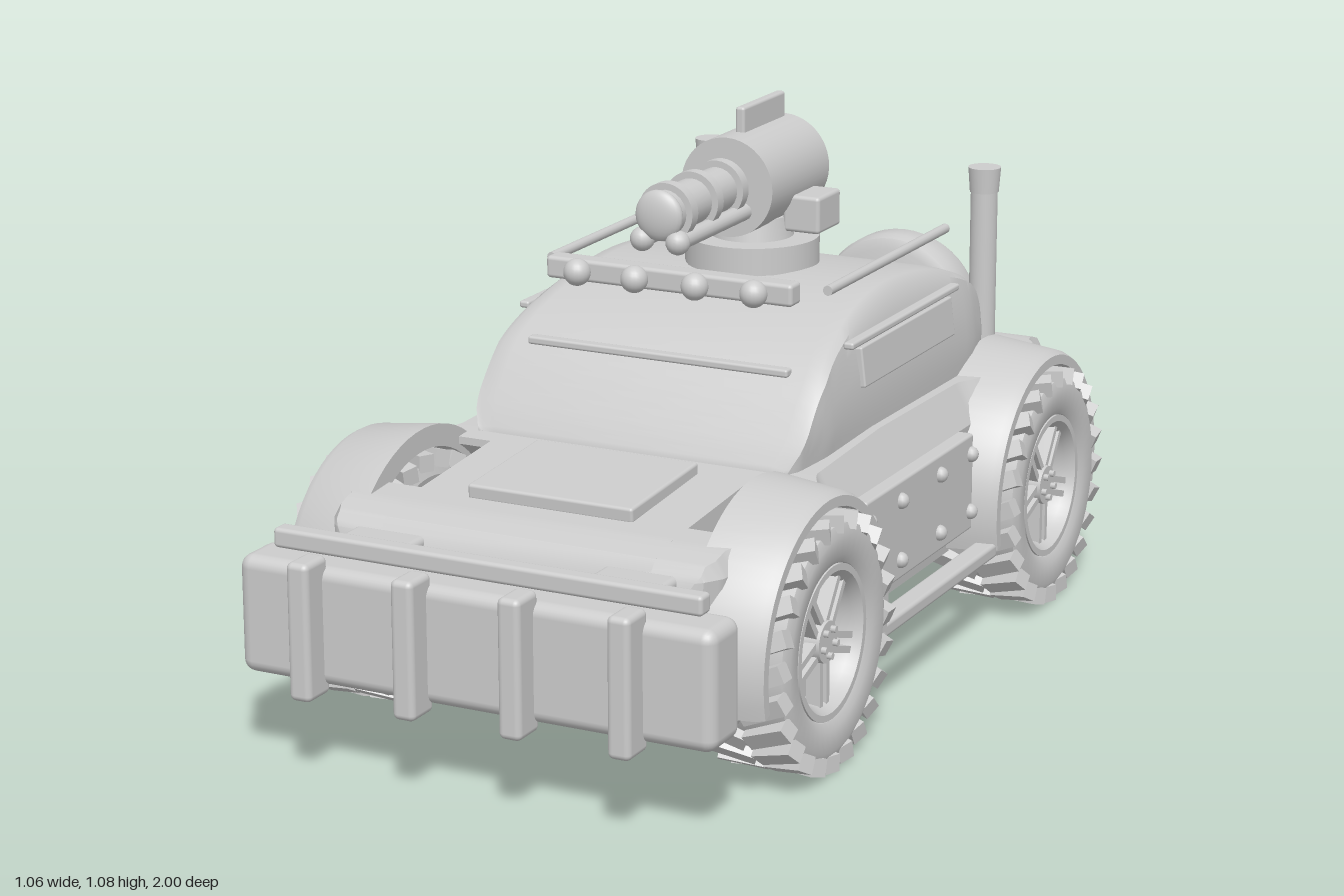
import * as THREE from 'three';
import { mergeGeometries, toCreasedNormals } from 'three/addons/utils/BufferGeometryUtils.js';
import { RoundedBoxGeometry } from 'three/addons/geometries/RoundedBoxGeometry.js';

const paint = new THREE.MeshStandardMaterial({ color: 0xcccccc });
paint.name = 'light grey';

const WHEEL_Y = 0.25, WHEEL_X = 0.43, FRONT_Z = 0.5, REAR_Z = -0.58, WELL_R = 0.265;

function add(parent, name, geo, x = 0, y = 0, z = 0) {
  const m = new THREE.Mesh(geo, paint);
  m.name = name;
  m.position.set(x, y, z);
  parent.add(m);
  return m;
}
function box(parent, name, w, h, d, x, y, z, r = 0) {
  const geo = r ? new RoundedBoxGeometry(w, h, d, 3, r) : new THREE.BoxGeometry(w, h, d);
  return add(parent, name, geo, x, y, z);
}
// cylinder lying along z
function rod(parent, name, r, len, x, y, z, seg = 24) {
  return add(parent, name, new THREE.CylinderGeometry(r, r, len, seg).rotateX(Math.PI / 2), x, y, z);
}

// piecewise linear lookup in [[key, value], ...] sorted by key
function lookup(table, k) {
  if (k <= table[0][0]) return table[0][1];
  for (let i = 1; i < table.length; i++) {
    const [a, va] = table[i - 1], [b, vb] = table[i];
    if (k <= b) return va + (vb - va) * (k - a) / (b - a);
  }
  return table[table.length - 1][1];
}

// closed solid through equal-length cross-sections of [x, y, z] points
function loft(sections, crease = 0.5) {
  const tris = [], n = sections[0].length;
  for (let i = 0; i < sections.length - 1; i++) {
    for (let j = 0; j < n; j++) {
      const k = (j + 1) % n, A = sections[i], B = sections[i + 1];
      tris.push([A[j], A[k], B[k]], [A[j], B[k], B[j]]);
    }
  }
  const first = sections[0], last = sections[sections.length - 1];
  for (let j = 1; j < n - 1; j++) {
    tris.push([first[0], first[j + 1], first[j]], [last[0], last[j], last[j + 1]]);
  }
  // turn the faces outward whichever way the sections run
  let volume = 0;
  const v = (p) => new THREE.Vector3(...p);
  for (const [a, b, c] of tris) volume += v(a).dot(v(b).cross(v(c)));
  if (volume < 0) tris.forEach((t) => t.reverse());
  const geo = new THREE.BufferGeometry();
  geo.setAttribute('position', new THREE.Float32BufferAttribute(tris.flat(2), 3));
  return toCreasedNormals(geo, crease);
}

// hull outline along z
const hullTop = (z) => lookup([[-0.88, 0.42], [-0.86, 0.48], [-0.8, 0.5], [0, 0.51], [0.3, 0.5],
  [0.5, 0.485], [0.7, 0.47], [0.76, 0.455], [0.785, 0.43], [0.8, 0.38]], z);
const hullWidth = (z) => lookup([[-0.88, 0.36], [-0.85, 0.395], [-0.75, 0.42], [0.65, 0.42],
  [0.74, 0.405], [0.78, 0.38], [0.8, 0.34]], z);
const hullBase = (z) => lookup([[-0.88, 0.2], [-0.8, 0.17], [0.7, 0.17], [0.8, 0.21]], z);

function hull(parent) {
  const range = (a, b, n) => Array.from({ length: n + 1 }, (_, i) => a + (b - a) * i / n);
  const core = range(-0.88, 0.8, 84).map((z) => [[-0.28, hullBase(z), z], [0.28, hullBase(z), z],
    [0.28, hullTop(z), z], [-0.28, hullTop(z), z]]);
  add(parent, 'hullCore', loft(core));

  // z stations following the edge of a wheel well, from its top outward
  const edge = (cz, dir, start) => [...range(start, Math.PI / 2, 12).map((a) => cz + dir * WELL_R * Math.sin(a)),
    cz + dir * (WELL_R + 0.001)];
  const pieces = {
    nose: [...edge(FRONT_Z, 1, 0.52), 0.775, 0.785, 0.8],
    flank: [...edge(FRONT_Z, -1, 0.52), 0.1, 0, -0.15, ...edge(REAR_Z, 1, 0.28).reverse()],
    tail: [...edge(REAR_Z, -1, 0.28), -0.86, -0.88],
  };
  for (const [name, zs] of Object.entries(pieces)) {
    for (const s of [1, -1]) {
      const sections = zs.map((z) => {
        const dz = Math.min(Math.abs(z - FRONT_Z), Math.abs(z - REAR_Z));
        const top = hullTop(z), w = hullWidth(z);
        const well = dz <= WELL_R ? WHEEL_Y + Math.sqrt(WELL_R ** 2 - dz ** 2) : hullBase(z);
        const low = Math.min(well, top - 0.003);
        const mid = Math.min(Math.max(0.43, low + 0.001), top - 0.001);
        return [[0.27, low], [w - (mid - low) * 0.1, low], [w, mid], [w - (top - mid) * 0.55, top], [0.27, top]]
          .map(([x, y]) => [s * x, y, z]);
      });
      add(parent, name, loft(sections));
    }
  }
}

function cabin(parent) {
  const profile = [[0.325, 0.5], [0.29, 0.555], [0.22, 0.64], [0.13, 0.7], [-0.02, 0.745], [-0.19, 0.76],
    [-0.39, 0.737], [-0.53, 0.688], [-0.575, 0.635], [-0.6, 0.57], [-0.61, 0.52]];
  const curve = new THREE.SplineCurve(profile.map((p) => new THREE.Vector2(...p)));
  const side = [[0.48, 0.355], [0.56, 0.363], [0.65, 0.353], [0.7, 0.34], [0.76, 0.318]];
  const sections = curve.getPoints(40).map(({ x: z, y: h }) => {
    const taper = lookup([[-0.61, 0.91], [-0.58, 0.96], [-0.5, 1], [0.2, 1], [0.3, 0.97], [0.325, 0.93]], z);
    const half = [0, 0.2, 0.4, 0.6, 0.8, 0.93].map((t) => {
      const y = 0.48 + t * (h - 0.48);
      return [lookup(side, y) * taper, y];
    });
    half.push([(lookup(side, h) - 0.012) * taper, h - 0.004], [(lookup(side, h) - 0.04) * taper, h]);
    return [...half.map(([x, y]) => [x, y, z]), ...half.reverse().map(([x, y]) => [-x, y, z])];
  });
  add(parent, 'cabin', loft(sections, 0.7));
  box(parent, 'windshieldStrip', 0.56, 0.016, 0.025, 0, 0.66, 0.205, 0.005);
  box(parent, 'hoodPanel', 0.345, 0.03, 0.27, 0, 0.493, 0.51, 0.006).rotation.x = 0.06;
  for (const s of [1, -1]) {
    box(parent, 'sideWindow', 0.03, 0.08, 0.44, s * 0.349, 0.64, -0.17, 0.004).rotation.z = s * 0.12;
    box(parent, 'windowRail', 0.022, 0.014, 0.52, s * 0.353, 0.695, -0.16, 0.005);
    rod(parent, 'roofRail', 0.01, 0.57, s * 0.3, 0.794, -0.205, 12);
    add(parent, 'snorkelPipe', new THREE.CylinderGeometry(0.028, 0.028, 0.36, 24), s * 0.315, 0.66, -0.658);
    add(parent, 'snorkelCap', new THREE.CylinderGeometry(0.034, 0.03, 0.052, 24), s * 0.315, 0.864, -0.658);
  }
  // roof light bar
  box(parent, 'lightBar', 0.53, 0.044, 0.045, 0, 0.798, 0.145, 0.008);
  for (const x of [-0.19, -0.065, 0.065, 0.19]) {
    add(parent, 'spotlight', new THREE.SphereGeometry(0.027, 20, 14), x, 0.798, 0.178);
  }
}

function turret(parent) {
  const g = new THREE.Group();
  g.name = 'turret';
  parent.add(g);
  add(g, 'turretRing', new THREE.CylinderGeometry(0.135, 0.135, 0.055, 40), 0, 0.785, -0.21);
  add(g, 'turretNeck', new THREE.CylinderGeometry(0.075, 0.085, 0.05, 32), 0, 0.83, -0.21);
  rod(g, 'turretBody', 0.1, 0.265, 0, 0.93, -0.225, 40);
  box(g, 'turretFin', 0.02, 0.06, 0.19, 0, 1.05, -0.245, 0.006);
  box(g, 'ammoBox', 0.08, 0.075, 0.105, 0.112, 0.864, -0.25, 0.008);
  rod(g, 'barrel', 0.045, 0.3, 0, 0.935, 0.05);
  for (const z of [0.16, 0.05, -0.06]) rod(g, 'barrelRing', 0.058, 0.025, 0, 0.935, z, 32);
  add(g, 'muzzle', new THREE.SphereGeometry(0.05, 24, 16).scale(1, 1, 0.4), 0, 0.935, 0.198);
  for (const s of [1, -1]) {
    rod(g, 'smallBarrel', 0.017, 0.3, s * 0.038, 0.885, 0.05, 16);
    add(g, 'smallMuzzle', new THREE.SphereGeometry(0.024, 16, 12), s * 0.038, 0.885, 0.195);
  }
}

// wheel built around the y axis with its outer face at +y
function wheel() {
  const g = new THREE.Group();
  g.name = 'wheel';
  const lathe = (pts) => toCreasedNormals(
    new THREE.LatheGeometry(pts.map((p) => new THREE.Vector2(...p)), 48).toNonIndexed(), 0.5);
  add(g, 'tire', lathe([[0.145, -0.06], [0.155, -0.08], [0.2, -0.09], [0.224, -0.082], [0.228, 0],
    [0.224, 0.082], [0.205, 0.09], [0.165, 0.086], [0.15, 0.078], [0.14, 0.06]]));
  add(g, 'rim', lathe([[0.001, -0.07], [0.146, -0.07], [0.148, 0.08], [0.135, 0.08], [0.122, 0.06],
    [0.118, 0.02], [0.001, 0.02]]));
  const lugs = [], count = 24;
  for (let i = 0; i < count; i++) {
    for (const s of [1, -1]) {
      const lug = new THREE.BoxGeometry(0.034, 0.096, 0.034);
      lug.rotateX(s * 0.42).translate(0.229, s * 0.047, 0);
      lugs.push(lug.rotateY((i + (s > 0 ? 0 : 0.15)) / count * Math.PI * 2));
    }
  }
  add(g, 'tread', mergeGeometries(lugs));
  for (let i = 0; i < 5; i++) {
    const a = i / 5 * Math.PI * 2;
    for (const s of [1, -1]) {
      const spoke = new THREE.BoxGeometry(0.1, 0.028, 0.013).translate(0.078, 0.05, s * 0.014).rotateY(a);
      add(g, 'spoke', spoke);
    }
    add(g, 'wheelBolt', new THREE.CylinderGeometry(0.007, 0.007, 0.012, 8),
      0.026 * Math.cos(a), 0.074, 0.026 * Math.sin(a));
  }
  add(g, 'hub', new THREE.CylinderGeometry(0.04, 0.044, 0.05, 24), 0, 0.045, 0);
  add(g, 'axleStub', new THREE.CylinderGeometry(0.03, 0.03, 0.12, 16), 0, -0.12, 0);
  return g;
}

// arched fender swept around a wheel centre
function fender(parent, s, cz) {
  const sections = [];
  for (let i = 0; i <= 36; i++) {
    const a = -0.24 + (Math.PI + 0.48) * i / 36;
    sections.push([[0.35, 0.252], [0.35, 0.296], [0.485, 0.28], [0.5, 0.272], [0.5, 0.252]]
      .map(([x, r]) => [s * x, WHEEL_Y + r * Math.sin(a), cz + r * Math.cos(a)]));
  }
  add(parent, 'fender', loft(sections));
}

export function createModel() {
  const car = new THREE.Group();
  car.name = 'armouredBuggy';
  hull(car);
  cabin(car);
  turret(car);
  for (const s of [1, -1]) {
    for (const z of [FRONT_Z, REAR_Z]) {
      const w = wheel();
      w.position.set(s * WHEEL_X, WHEEL_Y, z);
      w.rotation.z = -s * Math.PI / 2;
      car.add(w);
      fender(car, s, z);
    }
    // flank armour, bolts and running board
    box(car, 'sidePanel', 0.04, 0.2, 0.52, s * 0.43, 0.33, -0.04, 0.006);
    for (const z of [0.21, 0.06, -0.13, -0.285]) {
      for (const y of [0.39, 0.27]) {
        add(car, 'panelBolt', new THREE.SphereGeometry(0.016, 12, 8), s * 0.451, y, z);
      }
    }
    box(car, 'runningBoard', 0.045, 0.03, 0.56, s * 0.475, 0.185, -0.04, 0.008);
    box(car, 'bumperBracket', 0.15, 0.13, 0.08, s * 0.26, 0.37, 0.81, 0.012);
    box(car, 'tailLight', 0.11, 0.05, 0.04, s * 0.31, 0.42, -0.882, 0.006);
  }
  // front bumper with guard bars
  box(car, 'frontBumper', 0.975, 0.228, 0.115, 0, 0.291, 0.89, 0.025);
  box(car, 'bumperRail', 0.88, 0.038, 0.038, 0, 0.43, 0.878, 0.008);
  for (const x of [-0.327, -0.109, 0.109, 0.327]) {
    box(car, 'guardBar', 0.046, 0.265, 0.075, x, 0.293, 0.9625, 0.012);
  }
  // rear bumper and spare wheel
  box(car, 'rearBumper', 0.9, 0.13, 0.105, 0, 0.255, -0.923, 0.015);
  const spare = [[0.001, -0.05], [0.15, -0.05], [0.172, -0.04], [0.178, -0.02], [0.178, 0.03], [0.17, 0.05],
    [0.15, 0.058], [0.1, 0.056], [0.09, 0.035], [0.001, 0.035]].map((p) => new THREE.Vector2(...p));
  const spareGeo = new THREE.LatheGeometry(spare, 48).rotateX(-Math.PI / 2).toNonIndexed();
  add(car, 'spareTire', toCreasedNormals(spareGeo, 0.6), 0, 0.478, -0.942);
  add(car, 'spareHub', new THREE.SphereGeometry(0.08, 28, 16).scale(1, 1, 0.35), 0, 0.478, -0.97);
  return car;
}
